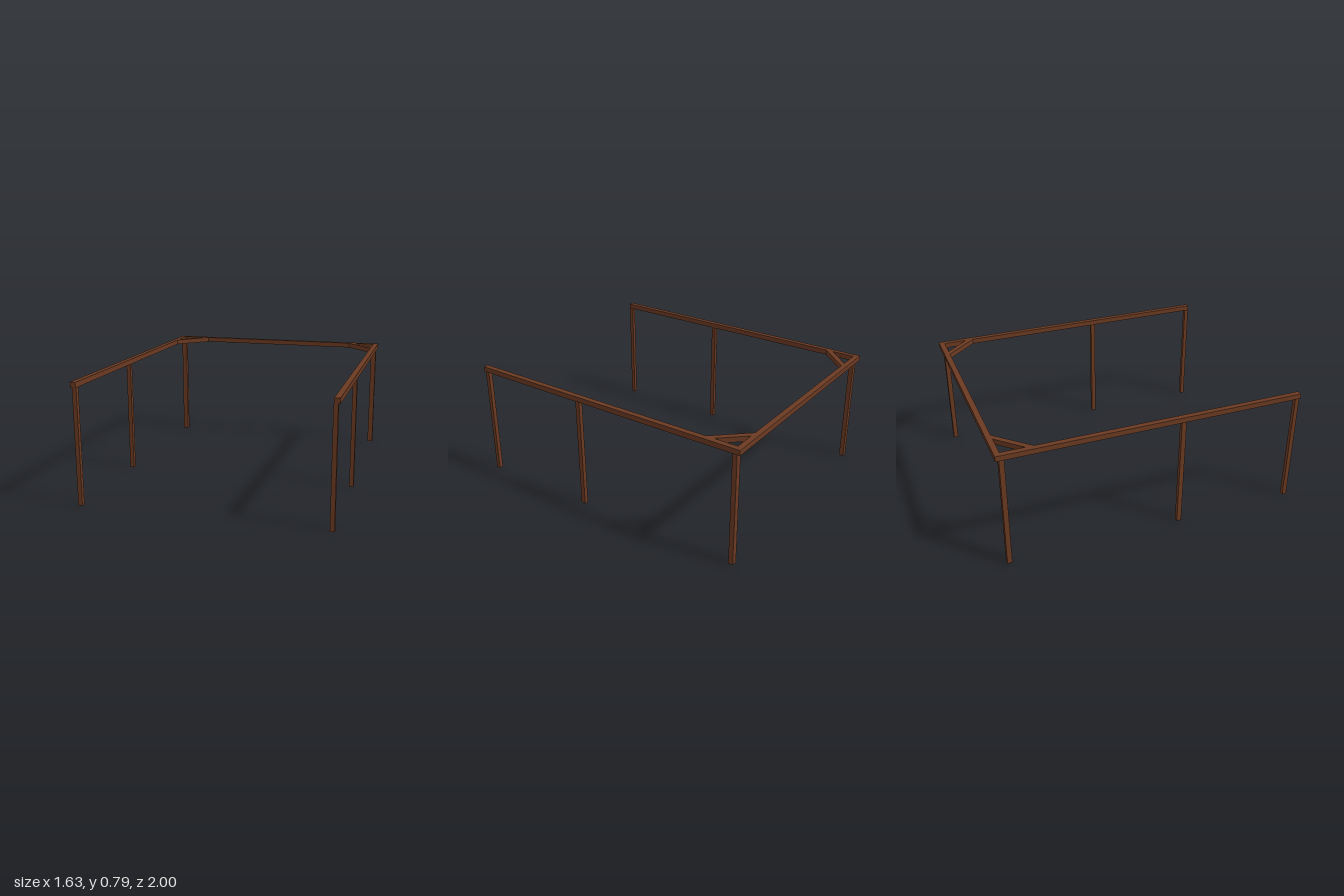
import * as THREE from 'three';

export function createModel() {
  const group = new THREE.Group();
  group.name = 'pergolaFrame';
  const wood = new THREE.MeshStandardMaterial({ color: 0x6b3a22, flatShading: true });
  const low = 0.752, high = 0.786; // underside and top of the beams

  // Box given by its minimum and maximum corners
  function timber(name, x0, x1, y0, y1, z0, z1) {
    const mesh = new THREE.Mesh(new THREE.BoxGeometry(x1 - x0, y1 - y0, z1 - z0), wood);
    mesh.position.set((x0 + x1) / 2, (y0 + y1) / 2, (z0 + z1) / 2);
    mesh.name = name;
    group.add(mesh);
  }

  // Mitred corner brace: plan outline of (x, z) points extruded upwards
  function brace(name, points) {
    const shape = new THREE.Shape(points.map(([x, z]) => new THREE.Vector2(x, -z)));
    const geometry = new THREE.ExtrudeGeometry(shape, { depth: high - low, bevelEnabled: false });
    geometry.rotateX(-Math.PI / 2);
    const mesh = new THREE.Mesh(geometry, wood);
    mesh.position.y = low;
    mesh.name = name;
    group.add(mesh);
  }

  timber('backBeam', -0.816, 0.816, low, high, -1, -0.964);

  for (const [side, s] of [['left', 1], ['right', -1]]) {
    const mirrored = (name, a, b, ...rest) =>
      timber(side + name, Math.min(s * a, s * b), Math.max(s * a, s * b), ...rest);
    mirrored('Beam', 0.78, 0.816, low, high, -0.964, 1);
    mirrored('FrontPost', 0.777, 0.805, 0, low, 0.97, 0.998);
    mirrored('MiddlePost', 0.777, 0.805, 0, low, 0.165, 0.195);
    mirrored('CornerPost', 0.767, 0.804, 0, low, -0.976, -0.945);
  }

  // The two braces differ slightly in their cut
  brace('rightBrace', [[-0.627, -0.964], [-0.579, -0.964], [-0.78, -0.762], [-0.78, -0.812]]);
  brace('leftBrace', [[0.59, -0.964], [0.638, -0.964], [0.78, -0.81], [0.78, -0.757]]);

  return group;
}
